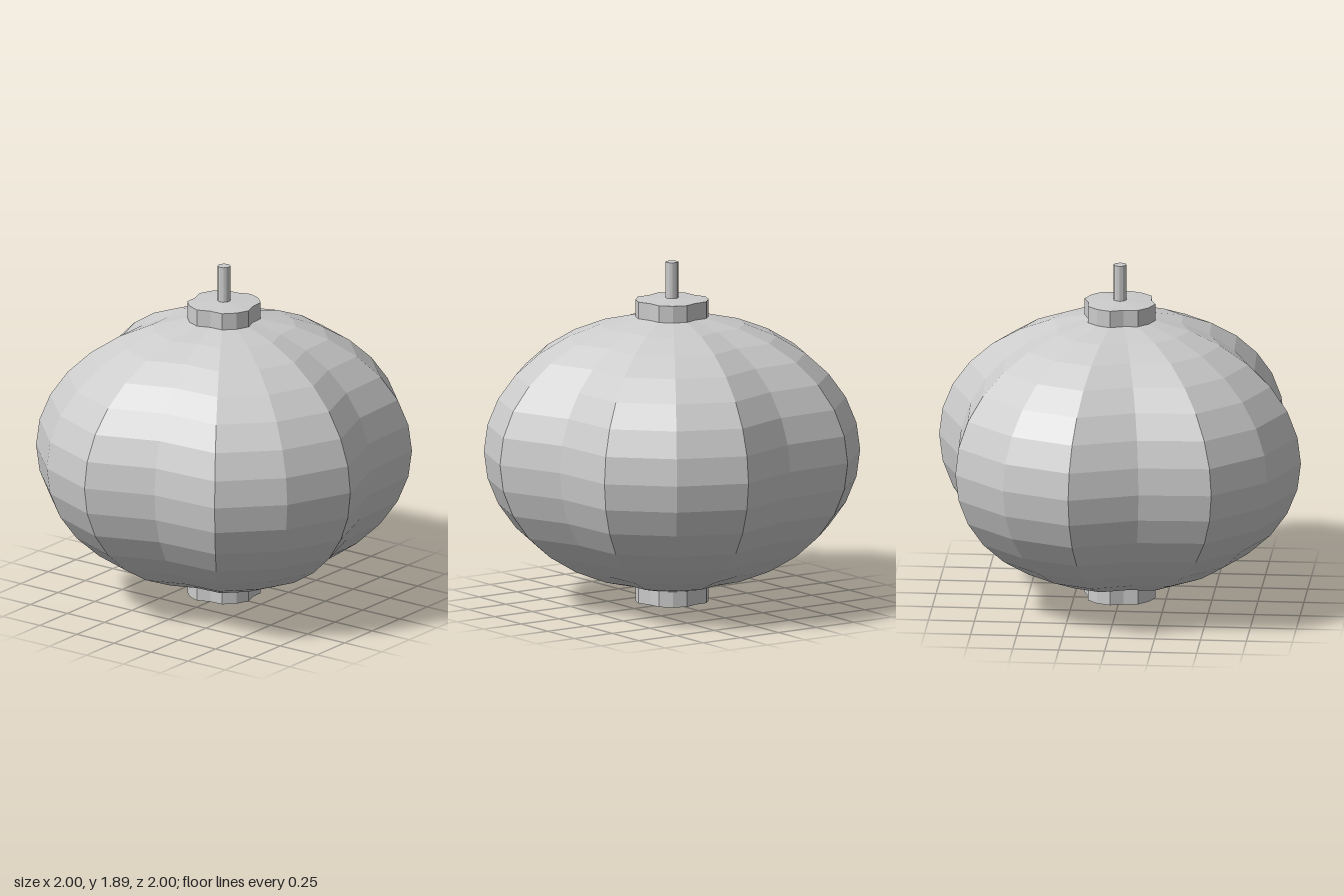
import * as THREE from 'three';

const SIDES = 16;
const RADIUS = 1.02;   // at the ridges
const GROOVE = 0.865;  // every fourth edge is pulled in
const MID = 0.845;     // height of the equator
const HALF = 0.757;    // half height of the body

const material = new THREE.MeshStandardMaterial({ color: 0xcccccc, flatShading: true });

// Turned shape of 16 sides whose every fourth edge sinks into a groove
function groovedLathe(name, points) {
  const profile = points.map(([r, y]) => new THREE.Vector2(r, y));
  const geometry = new THREE.LatheGeometry(profile, SIDES, Math.PI / SIDES);
  const pos = geometry.attributes.position;
  for (let i = 0; i < pos.count; i++) {
    const edge = Math.floor(i / points.length) % SIDES;
    if (edge % 4 === 0) pos.setXYZ(i, pos.getX(i) * GROOVE, pos.getY(i), pos.getZ(i) * GROOVE);
  }
  geometry.computeVertexNormals();
  const mesh = new THREE.Mesh(geometry, material);
  mesh.name = name;
  return mesh;
}

export function createModel() {
  const group = new THREE.Group();
  group.name = 'lantern';

  // Flattened globe, open where the caps close it
  const body = [];
  for (let k = 1; k < 16; k++) {
    const a = (k * Math.PI) / 16;
    body.push([RADIUS * Math.sin(a), MID - HALF * Math.cos(a)]);
  }
  group.add(groovedLathe('body', body));

  // Shallow-pointed caps at both ends
  const capRadius = body[0][0];
  const [low, high] = [body[0][1], body[14][1]];
  group.add(groovedLathe('bottomCap', [[0, 0], [capRadius, 0.016], [capRadius, low]]));
  group.add(groovedLathe('topCap', [[capRadius, high], [capRadius, 1.68], [0, 1.692]]));

  // Hanging rod
  const rod = new THREE.Mesh(new THREE.CylinderGeometry(0.035, 0.035, 0.235, 12), material);
  rod.name = 'rod';
  rod.position.y = 1.77;
  group.add(rod);

  return group;
}
